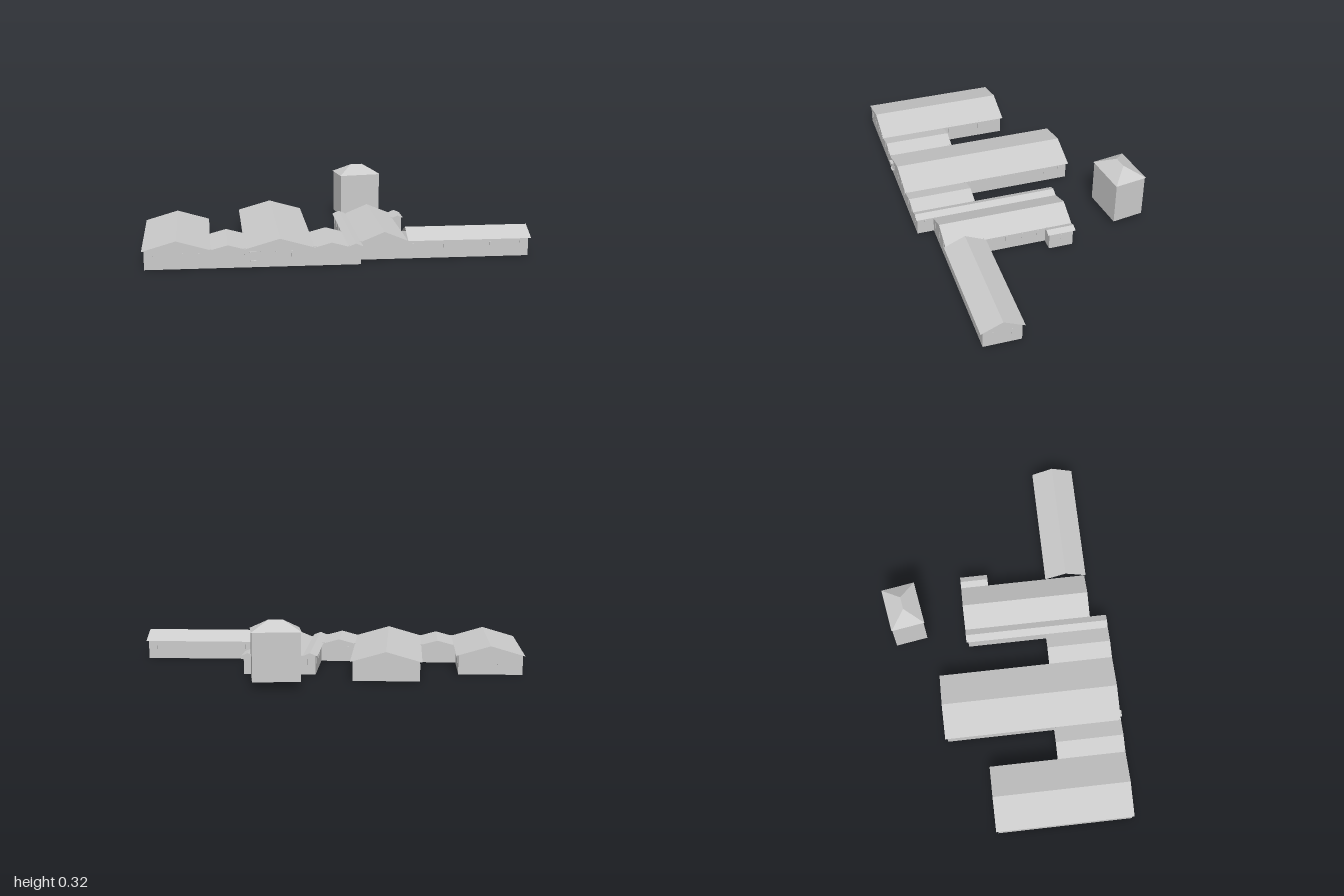
import * as THREE from 'three';

const EAVE = 0.095;
const material = new THREE.MeshStandardMaterial({ color: 0xcccccc, side: THREE.DoubleSide, flatShading: true });

// Mesh from convex polygons, each a list of [along, up, depth] corners
function sheets(name, polygons) {
  const positions = [];
  for (const p of polygons) {
    for (let i = 1; i < p.length - 1; i++) {
      for (const [u, y, v] of [p[0], p[i], p[i + 1]]) positions.push(u, y, -v);
    }
  }
  const geometry = new THREE.BufferGeometry();
  geometry.setAttribute('position', new THREE.Float32BufferAttribute(positions, 3));
  geometry.computeVertexNormals();
  const mesh = new THREE.Mesh(geometry, material);
  mesh.name = name;
  return mesh;
}

function box(name, w, h, d, x, y, z) {
  const mesh = new THREE.Mesh(new THREE.BoxGeometry(w, h, d), material);
  mesh.position.set(x, y, z);
  mesh.name = name;
  return mesh;
}

// Pitched roof with its ridge running in depth, and a gable wall at each end
function gableRoof(name, u0, u1, v0, v1, ridge) {
  const mid = (u0 + u1) / 2;
  const group = new THREE.Group();
  group.name = name;
  group.add(sheets(name + 'Slopes', [
    [[u0, EAVE, v0], [mid, ridge, v0], [mid, ridge, v1], [u0, EAVE, v1]],
    [[mid, ridge, v0], [u1, EAVE, v0], [u1, EAVE, v1], [mid, ridge, v1]],
  ]));
  group.add(sheets(name + 'Gables', [
    [[u0, EAVE, v0 + 0.006], [u1, EAVE, v0 + 0.006], [mid, ridge, v0 + 0.006]],
    [[u1, EAVE, v1 - 0.01], [u0, EAVE, v1 - 0.01], [mid, ridge, v1 - 0.01]],
  ]));
  return group;
}

// Hipped tower standing free behind the wings
function createTower() {
  const tower = new THREE.Group();
  tower.name = 'tower';
  const w = 0.238, d = 0.177, base = 0.035, eave = 0.27, top = 0.32, r = 0.034;
  const ring = (y, inset) => [[-1, -1], [1, -1], [1, 1], [-1, 1]]
    .map(([a, b]) => [a * (w / 2 - inset), y, b * (d / 2 - inset)]);
  const low = ring(base, 0.004), high = ring(eave, 0.004), rim = ring(eave, 0);
  const ridgeA = [-r, top, 0], ridgeB = [r, top, 0];
  tower.add(sheets('towerWalls', low.map((p, i) => {
    const j = (i + 1) % 4;
    return [p, low[j], high[j], high[i]];
  })));
  tower.add(sheets('towerRoof', [
    [rim[0], rim[1], ridgeB, ridgeA],
    [rim[1], rim[2], ridgeB],
    [rim[2], rim[3], ridgeA, ridgeB],
    [rim[3], rim[0], ridgeA],
  ]));
  tower.position.set(-0.232, 0, -0.723);
  tower.rotation.y = Math.PI / 4;
  return tower;
}

export function createModel() {
  const model = new THREE.Group();
  model.name = 'buildingComplex';

  // Main building, laid out from its front corner and turned on the site
  const building = new THREE.Group();
  building.name = 'mainBuilding';
  building.position.set(-0.58, 0, 0.86);
  building.rotation.y = Math.PI / 5;
  model.add(building);

  // Parallel roofs: name, u0, u1, v0, v1, ridge height
  for (const spec of [
    ['outerWingRoof', 0, 0.343, 0, 0.71, 0.145],
    ['firstLinkRoof', 0.343, 0.515, 0, 0.355, 0.118],
    ['centralWingRoof', 0.515, 0.867, 0, 0.925, 0.145],
    ['secondLinkRoof', 0.867, 1.037, 0, 0.338, 0.118],
    ['corridorRoof', 1.037, 1.111, 0, 0.765, 0.11],
    ['innerWingRoof', 1.111, 1.355, 0.088, 0.765, 0.145],
    ['annexRoof', 1.355, 1.418, 0.617, 0.765, 0.108],
  ]) building.add(gableRoof(...spec));

  // Cross wing, its ridge at right angles to the others
  const [a, b, front, back, top] = [1.355, 2.0, 0.08, 0.302, 0.145];
  const mid = (front + back) / 2;
  building.add(sheets('crossWingRoof', [
    [[a, EAVE, front], [b, EAVE, front], [b, top, mid], [a, top, mid]],
    [[a, top, mid], [b, top, mid], [b, EAVE, back], [a, EAVE, back]],
    [[b - 0.012, EAVE, front], [b - 0.012, EAVE, back], [b - 0.012, top, mid]],
  ]));

  // Outer walls follow one outline; the inside is open
  const outline = [
    [0.012, 0.006], [0.012, 0.7], [0.333, 0.7], [0.333, 0.345], [0.527, 0.345],
    [0.527, 0.915], [0.855, 0.915], [0.855, 0.328], [1.047, 0.328], [1.047, 0.755],
    [1.408, 0.755], [1.408, 0.627], [1.343, 0.627], [1.343, 0.29], [1.988, 0.29],
    [1.988, 0.094], [1.1, 0.094], [1.1, 0.006],
  ];
  const walls = [];
  const windows = new THREE.Group();
  windows.name = 'windows';
  outline.forEach(([u, v], i) => {
    const [u2, v2] = outline[(i + 1) % outline.length];
    walls.push([[u, 0, v], [u2, 0, v2], [u2, EAVE + 0.003, v2], [u, EAVE + 0.003, v]]);
    // Evenly spaced slit windows
    const length = Math.hypot(u2 - u, v2 - v);
    const count = Math.floor(length / 0.075);
    for (let k = 0; k < count; k++) {
      const t = (k + 0.5) / count;
      const slit = box('window', 0.008, 0.03, 0.004, u + (u2 - u) * t, 0.065, -(v + (v2 - v) * t));
      if (Math.abs(u2 - u) < 0.001) slit.rotation.y = Math.PI / 2;
      windows.add(slit);
    }
  });
  building.add(sheets('outerWalls', walls), windows);

  // Entrance on the front wall
  const entrance = new THREE.Group();
  entrance.name = 'entrance';
  entrance.add(box('canopy', 0.034, 0.004, 0.016, 0.555, 0.08, 0.002));
  entrance.add(box('door', 0.01, 0.045, 0.006, 0.555, 0.057, -0.005));
  entrance.add(box('step', 0.03, 0.004, 0.012, 0.555, 0.034, 0));
  building.add(entrance);

  model.add(createTower());
  return model;
}
